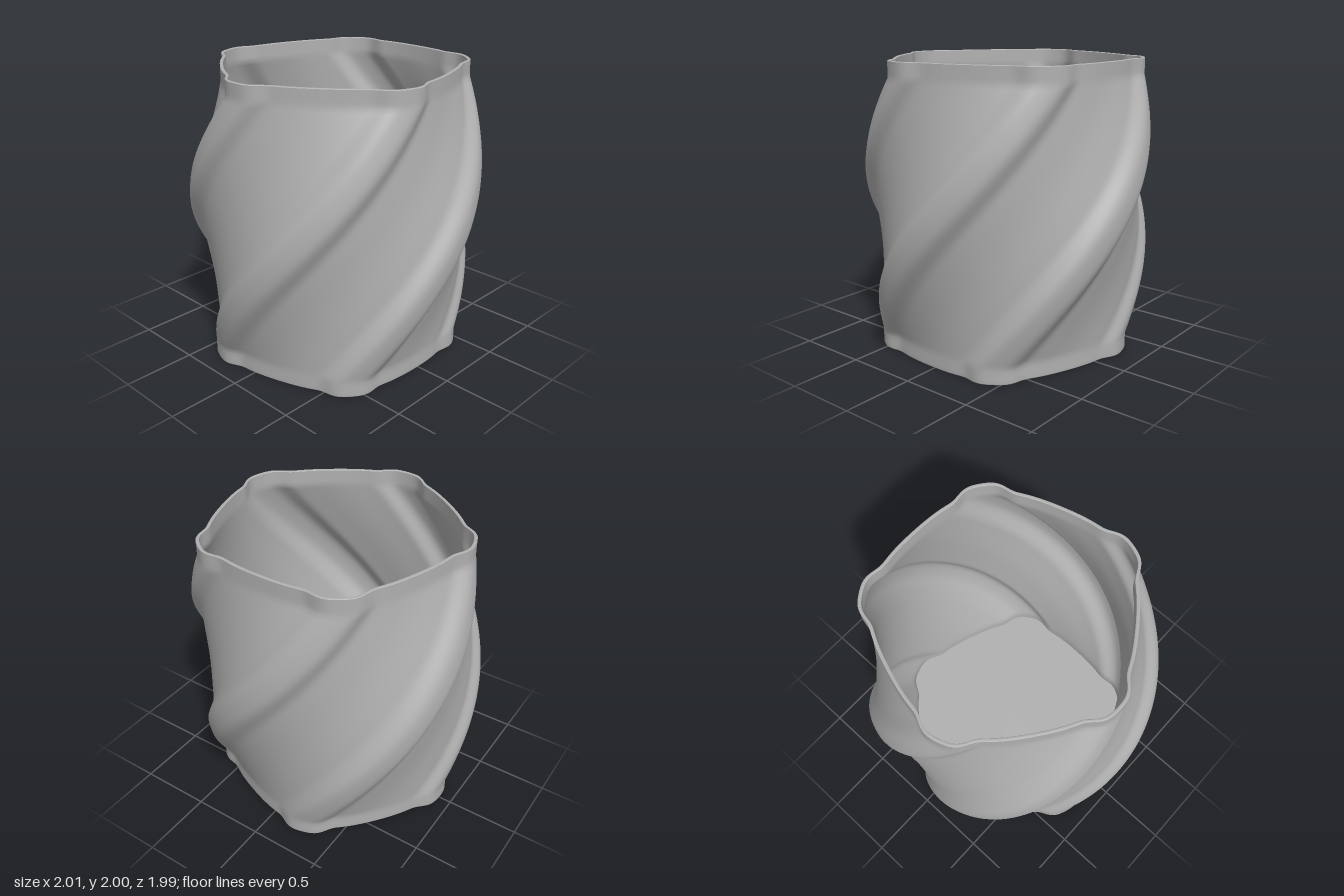
import * as THREE from 'three';

const SIDES = 5, SEG = 240, RINGS = 72;
const HEIGHT = 2, WALL = 0.022, FLOOR = 0.04, BAND = 0.11;
const rad = THREE.MathUtils.degToRad;

// Radius of the five-ribbed outline, d = degrees away from the nearest rib
function outline(d) {
  return 0.782 + 0.021 * (1 + Math.cos(Math.PI * d / 36)) + 0.061 * Math.exp(-Math.pow(d / 11, 4));
}

// One twisted, swelling cross-section; straight bands at the foot and the lip
function ring(y, inset = 0, k = 1) {
  const u = THREE.MathUtils.clamp((y - BAND) / (HEIGHT - 2 * BAND), 0, 1);
  const phase = 56 - 91 * u;
  const swell = 1 + 0.145 * Math.sin(Math.PI * u);
  const cx = -0.03 + 0.06 * u, cz = -0.028;
  const points = [];
  for (let j = 0; j < SEG; j++) {
    const a = j * 360 / SEG;
    const step = 360 / SIDES;
    const d = Math.abs(a - Math.round(a / step) * step);
    const r = (outline(d) * swell - inset) * k;
    const t = rad(a + phase);
    points.push(cx + r * Math.cos(t), y, cz + r * Math.sin(t));
  }
  return points;
}

// Skin a list of cross-sections into a smooth closed band
function skin(rings) {
  const index = [];
  for (let i = 0; i < rings.length - 1; i++) {
    for (let j = 0; j < SEG; j++) {
      const n = (j + 1) % SEG;
      const a = i * SEG + j, b = i * SEG + n, c = a + SEG, d = b + SEG;
      index.push(a, c, b, b, c, d);
    }
  }
  const g = new THREE.BufferGeometry();
  g.setAttribute('position', new THREE.Float32BufferAttribute(rings.flat(), 3));
  g.setIndex(index);
  g.computeVertexNormals();
  return g;
}

// Evenly spaced heights from y0 to y1
function wall(y0, y1, inset) {
  return Array.from({ length: RINGS + 1 }, (_, i) => ring(y0 + (y1 - y0) * i / RINGS, inset));
}

export function createModel() {
  const group = new THREE.Group();
  group.name = 'twistedVase';
  const grey = new THREE.MeshStandardMaterial({ color: 0xb0b0b0 });
  grey.name = 'plain grey';
  const add = (name, rings) => {
    const mesh = new THREE.Mesh(skin(rings), grey);
    mesh.name = name;
    group.add(mesh);
  };

  const e = 0.008; // small rounding at foot and lip
  add('outerWall', [ring(0, e), ring(e * 0.3, e * 0.3), ...wall(e, HEIGHT - e / 2, 0)]);
  add('rim', [ring(HEIGHT - e / 2), ring(HEIGHT, e / 2), ring(HEIGHT, WALL - e / 2), ring(HEIGHT - e / 2, WALL)]);
  add('innerWall', wall(HEIGHT - e / 2, FLOOR, WALL));
  add('floor', [ring(FLOOR, WALL), ring(FLOOR, WALL, 0.001)]);
  add('base', [ring(0, e, 0.001), ring(0, e)]);
  return group;
}
